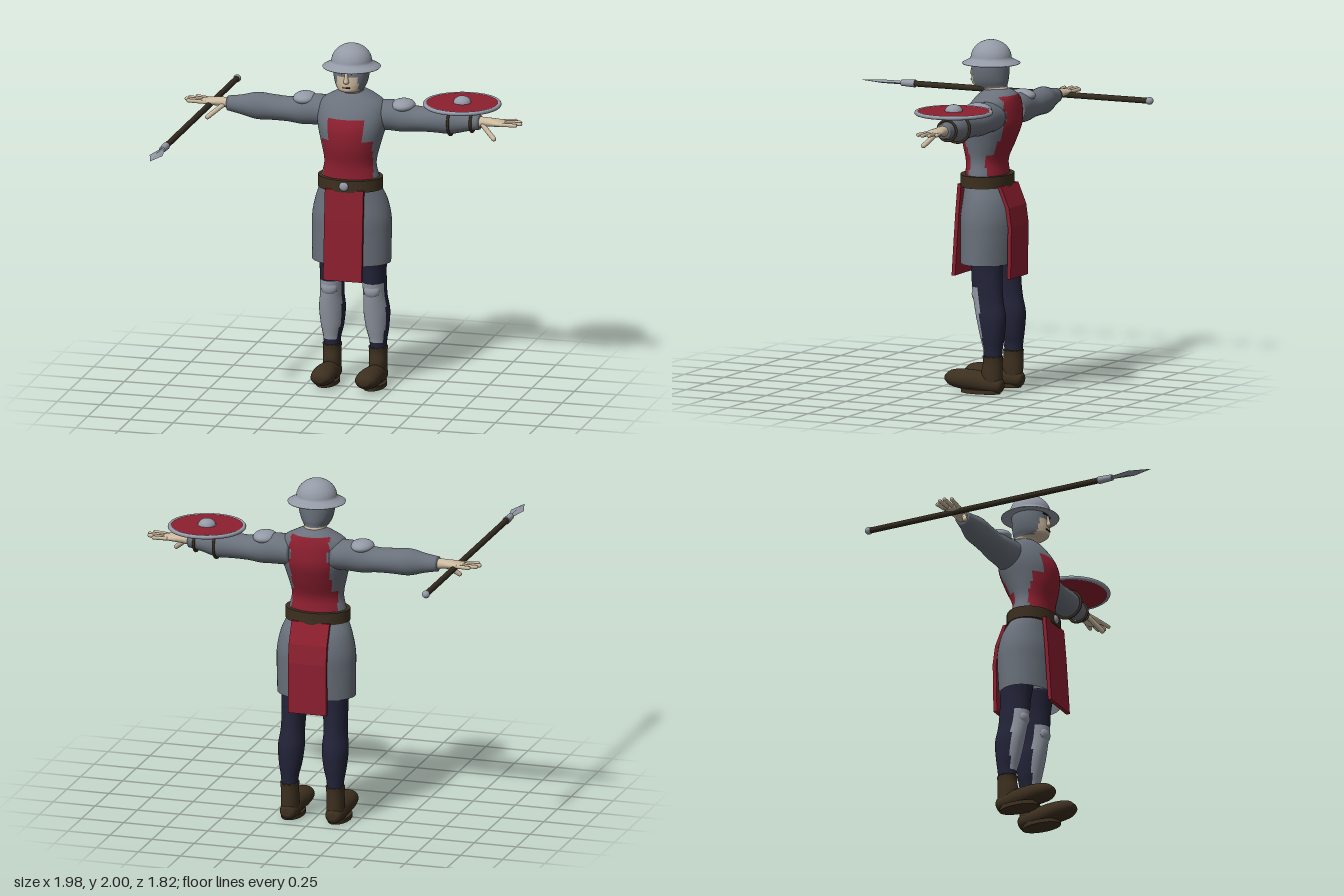
import * as THREE from 'three';

const paint = (name, color, extra = {}) => Object.assign(new THREE.MeshStandardMaterial({ color, ...extra }), { name });
const steel = paint('steel', 0x949aa6);
const mail = paint('mail grey', 0x6a717b, { side: THREE.DoubleSide });
const red = paint('tabard red', 0x8c1f2f);
const leather = paint('leather brown', 0x3c2f1f);
const wood = paint('dark wood', 0x332a1f);
const navy = paint('navy cloth', 0x222338);
const skin = paint('skin', 0xcbb99f);
const dark = paint('dark hair', 0x1d1814);

// Smooth interpolation through the rows of a section table
function sampleSections(s, f) {
  const i = Math.min(Math.floor(f), s.length - 2), t = f - i;
  const a = s[Math.max(i - 1, 0)], b = s[i], c = s[i + 1], d = s[Math.min(i + 2, s.length - 1)];
  return b.map((_, k) => b[k] + 0.5 * t * (c[k] - a[k] + t * (2 * a[k] - 5 * b[k] + 4 * c[k] - d[k]
    + t * (3 * (b[k] - c[k]) + d[k] - a[k]))));
}

// Loft of elliptical rings. Section: [along axis, centre u, centre v, radius u, radius v]
// (u, v) is (x, z) for axis y, (z, y) for axis x and (y, x) for axis z.
const place = {
  x: (t, u, v) => [t, v, u],
  y: (t, u, v) => [u, t, v],
  z: (t, u, v) => [v, u, t],
};
function loft(axis, sections, { segs = 36, rows = 28, cap = true, pick = null } = {}) {
  const pos = [], faces = [[], []];
  for (let i = 0; i <= rows; i++) {
    const [t, cu, cv, ru, rv] = sampleSections(sections, i / rows * (sections.length - 1));
    for (let j = 0; j < segs; j++) {
      const a = (j / segs) * Math.PI * 2;
      pos.push(...place[axis](t, cu + ru * Math.cos(a), cv + rv * Math.sin(a)));
    }
  }
  for (let i = 0; i < rows; i++) for (let j = 0; j < segs; j++) {
    const p = i * segs + j, q = i * segs + (j + 1) % segs, r = p + segs, s = q + segs;
    const mid = [0, 1, 2].map(k => (pos[p * 3 + k] + pos[q * 3 + k] + pos[r * 3 + k] + pos[s * 3 + k]) / 4);
    faces[pick && pick(...mid) ? 1 : 0].push(p, r, q, q, r, s);
  }
  if (cap) for (const end of [0, 1]) {
    const [t, cu, cv] = sections[end ? sections.length - 1 : 0], c = pos.length / 3, o = end * rows * segs;
    pos.push(...place[axis](t, cu, cv));
    for (let j = 0; j < segs; j++) {
      const p = o + j, q = o + (j + 1) % segs;
      faces[0].push(...(end ? [c, q, p] : [c, p, q]));
    }
  }
  const g = new THREE.BufferGeometry();
  g.setAttribute('position', new THREE.Float32BufferAttribute(pos, 3));
  g.setIndex([...faces[0], ...faces[1]]);
  if (pick) {
    g.addGroup(0, faces[0].length, 0);
    g.addGroup(faces[0].length, faces[1].length, 1);
  }
  g.computeVertexNormals();
  return g;
}

// Reflected copy across x = 0 with corner order kept outward
function mirrored(g) {
  const m = g.clone().scale(-1, 1, 1), ix = m.index.array;
  for (let i = 0; i < ix.length; i += 3) [ix[i + 1], ix[i + 2]] = [ix[i + 2], ix[i + 1]];
  return m;
}

const ball = (x, y, z, rx, ry, rz) => new THREE.SphereGeometry(1, 28, 18).scale(rx, ry, rz).translate(x, y, z);
const box = (x, y, z, w, h, d) => new THREE.BoxGeometry(w, h, d).translate(x, y, z);

// Capsule between two points
function finger(a, b, r) {
  const A = new THREE.Vector3(...a), B = new THREE.Vector3(...b), dir = B.clone().sub(A);
  const q = new THREE.Quaternion().setFromUnitVectors(new THREE.Vector3(0, 1, 0), dir.clone().normalize());
  return new THREE.CapsuleGeometry(r, dir.length() - r, 5, 10).applyQuaternion(q).translate(...A.add(B).multiplyScalar(0.5).toArray());
}

// Hanging cloth: side line [z, y] given thickness, extruded across x
function clothPanel(line, thick, width) {
  const back = line.map(([z, y]) => [z + thick, y]).reverse();
  const shape = new THREE.Shape([...line, ...back].map(p => new THREE.Vector2(...p)));
  return new THREE.ExtrudeGeometry(shape, { depth: width, bevelEnabled: false })
    .rotateY(-Math.PI / 2).translate(width / 2, 0, 0);
}

export function createModel() {
  const model = new THREE.Group();
  model.name = 'footSoldier';
  const add = (name, geometry, material) => {
    const m = new THREE.Mesh(geometry, material);
    m.name = name;
    model.add(m);
  };
  const pair = (name, geometry, material) => {
    add(name + 'Left', geometry, material);
    add(name + 'Right', mirrored(geometry), material);
  };

  // Torso with the red tabard front and back
  const tabard = (x, y, z) => {
    const w = Math.abs(x);
    if (z > -0.24) return y < 1.47 ? w < 0.145 : y < 1.59 && w < 0.105;
    return z < -0.33 && y < 1.69 && w < (y < 1.36 ? 0.135 : 0.115);
  };
  add('torso', loft('y', [
    [1.17, 0, -0.28, 0.175, 0.125], [1.24, 0, -0.278, 0.165, 0.115], [1.32, 0, -0.276, 0.15, 0.115],
    [1.42, 0, -0.287, 0.17, 0.147], [1.52, 0, -0.305, 0.195, 0.165], [1.6, 0, -0.32, 0.2, 0.15],
    [1.66, 0, -0.335, 0.18, 0.125], [1.7, 0, -0.345, 0.115, 0.1], [1.725, 0, -0.345, 0.06, 0.062],
  ], { segs: 56, rows: 40, pick: tabard }), [mail, red]);

  // Skirt, hanging panels, belt and buckle
  add('skirt', loft('y', [
    [0.735, 0, -0.3, 0.228, 0.16], [0.9, 0, -0.305, 0.23, 0.165], [1, 0, -0.305, 0.228, 0.165],
    [1.1, 0, -0.3, 0.207, 0.148], [1.18, 0, -0.28, 0.175, 0.122],
  ], { segs: 48, cap: false }), mail);
  add('frontPanel', clothPanel([[-0.165, 1.18], [-0.15, 1], [-0.137, 0.8], [-0.128, 0.655]], 0.022, 0.226), red);
  add('backPanel', clothPanel([[-0.415, 1.18], [-0.465, 1.06], [-0.48, 0.95], [-0.475, 0.655]], 0.022, 0.226), red);
  add('belt', new THREE.CylinderGeometry(1, 1, 0.068, 48).scale(0.187, 1, 0.143).translate(0, 1.203, -0.277), leather);
  add('buckle', ball(0, 1.203, -0.137, 0.027, 0.027, 0.015), steel);

  // Head: neck and face in skin, the rest under a mail hood
  const face = (x, y, z) => y < 1.735 || (z > -0.24 && Math.abs(x) < 0.062 && y < 1.83);
  add('head', loft('y', [
    [1.66, 0, -0.345, 0.06, 0.06], [1.72, 0, -0.33, 0.062, 0.07], [1.74, 0, -0.295, 0.073, 0.1],
    [1.77, 0, -0.293, 0.088, 0.108], [1.81, 0, -0.295, 0.099, 0.109], [1.86, 0, -0.297, 0.104, 0.108],
    [1.92, 0, -0.3, 0.1, 0.105],
  ], { segs: 48, rows: 42, pick: face }), [mail, skin]);
  add('nose', loft('y', [
    [1.79, 0, -0.19, 0.008, 0.008], [1.8, 0, -0.186, 0.016, 0.019],
    [1.825, 0, -0.188, 0.011, 0.013], [1.855, 0, -0.19, 0.008, 0.008],
  ], { segs: 12, rows: 10 }), skin);
  add('mouth', box(0, 1.768, -0.185, 0.042, 0.006, 0.007), dark);
  for (const s of [-1, 1]) {
    add('brow', box(s * 0.037, 1.862, -0.192, 0.04, 0.009, 0.008).rotateY(s * 0.08), dark);
    add('eye', box(s * 0.035, 1.845, -0.193, 0.022, 0.006, 0.008).rotateY(s * 0.08), dark);
  }

  // Kettle helmet
  const helmet = [[0.1, 1.872], [0.163, 1.864], [0.165, 1.868], [0.14, 1.882], [0.117, 1.893]];
  for (let i = 1; i <= 14; i++) {
    const a = i / 14 * Math.PI / 2;
    helmet.push([Math.max(0, 0.116 * Math.cos(a)), 1.895 + 0.105 * Math.sin(a)]);
  }
  add('helmet', new THREE.LatheGeometry(helmet.map(p => new THREE.Vector2(...p)), 48).translate(0, 0, -0.3), steel);

  // Arms, shoulder plates and hands
  pair('arm', loft('x', [
    [0.12, -0.35, 1.58, 0.1, 0.085], [0.22, -0.355, 1.583, 0.09, 0.088], [0.3, -0.355, 1.575, 0.085, 0.083],
    [0.38, -0.355, 1.572, 0.078, 0.071], [0.48, -0.355, 1.575, 0.075, 0.073], [0.57, -0.355, 1.577, 0.072, 0.077],
    [0.66, -0.35, 1.578, 0.055, 0.056], [0.74, -0.35, 1.58, 0.042, 0.042],
  ]), mail);
  pair('shoulderPlate', ball(0.288, 1.645, -0.355, 0.068, 0.037, 0.08), steel);
  pair('hand', loft('x', [
    [0.72, -0.35, 1.58, 0.035, 0.032], [0.78, -0.35, 1.585, 0.037, 0.026],
    [0.85, -0.347, 1.586, 0.05, 0.019], [0.89, -0.347, 1.585, 0.043, 0.012],
  ], { segs: 20, rows: 12 }), skin);
  [[-0.388, 0.94, -0.405], [-0.362, 0.975, -0.372], [-0.335, 0.985, -0.337], [-0.309, 0.965, -0.3]].forEach(([z, tip, zTip]) =>
    pair('finger', finger([0.86, 1.586, z], [tip, 1.59, zTip], 0.011), skin));
  pair('thumb', finger([0.76, 1.575, -0.325], [0.845, 1.505, -0.275], 0.014), skin);

  // Legs with shin plates on the front
  const greave = (x, y, z) => y > 0.25 && y < 0.61 && z > -0.31 - (0.6 - y) * 0.075;
  pair('leg', loft('y', [
    [0.17, 0.135, -0.375, 0.045, 0.05], [0.25, 0.135, -0.375, 0.05, 0.056], [0.33, 0.132, -0.37, 0.066, 0.071],
    [0.43, 0.13, -0.362, 0.075, 0.086], [0.52, 0.127, -0.345, 0.067, 0.088], [0.6, 0.124, -0.335, 0.068, 0.09],
    [0.7, 0.12, -0.33, 0.073, 0.092], [0.82, 0.115, -0.32, 0.088, 0.1],
  ], { rows: 44, pick: greave }), [navy, steel]);
  pair('kneePlate', ball(0.125, 0.565, -0.275, 0.047, 0.045, 0.03), steel);

  // Boots
  pair('bootShaft', loft('y', [
    [0.04, 0.135, -0.375, 0.05, 0.055], [0.12, 0.135, -0.37, 0.052, 0.062],
    [0.18, 0.135, -0.375, 0.051, 0.057], [0.215, 0.135, -0.375, 0.055, 0.06],
  ], { segs: 24, rows: 12 }), leather);
  pair('bootFoot', loft('z', [
    [-0.437, 0.05, 0.135, 0.02, 0.025], [-0.42, 0.05, 0.135, 0.043, 0.045], [-0.36, 0.055, 0.135, 0.055, 0.055],
    [-0.28, 0.067, 0.135, 0.06, 0.058], [-0.2, 0.072, 0.133, 0.058, 0.067], [-0.12, 0.075, 0.13, 0.046, 0.06],
    [-0.083, 0.075, 0.13, 0.02, 0.03],
  ], { segs: 28 }), leather);
  pair('sole', new THREE.CylinderGeometry(1, 1, 0.024, 28).scale(0.062, 1, 0.12).translate(0.138, 0.012, -0.3), leather);

  // Shield lying over the left forearm, with its arm straps
  add('shieldFace', new THREE.CylinderGeometry(0.208, 0.208, 0.018, 56).translate(0.63, 1.675, -0.366), red);
  add('shieldRim', new THREE.TorusGeometry(0.21, 0.012, 12, 56).rotateX(Math.PI / 2).translate(0.63, 1.675, -0.366), steel);
  add('shieldBoss', ball(0.63, 1.683, -0.366, 0.051, 0.039, 0.051), steel);
  [[0.57, 0.082, 1.577], [0.695, 0.058, 1.58]].forEach(([x, r, y]) =>
    add('armStrap', new THREE.TorusGeometry(r, 0.008, 8, 36).rotateY(Math.PI / 2).translate(x, y, -0.355), leather));

  // Spear in the right hand, pointing forward
  const rod = (r0, r1, z0, z1) => new THREE.CylinderGeometry(r1, r0, z1 - z0, 20)
    .rotateX(Math.PI / 2).translate(-0.84, 1.57, (z0 + z1) / 2);
  add('spearShaft', rod(0.017, 0.017, -0.88, 0.6), wood);
  add('spearSocket', rod(0.022, 0.018, 0.575, 0.66), steel);
  add('spearButt', ball(-0.84, 1.57, -0.89, 0.022, 0.022, 0.022), steel);
  const blade = [[0.65, 1.57, -0.84, 0.01, 0.012], [0.78, 1.57, -0.84, 0.01, 0.038], [0.905, 1.57, -0.84, 0.001, 0.001]];
  const bladeGeometry = loft('z', blade, { segs: 4, rows: 2 }).toNonIndexed();
  bladeGeometry.computeVertexNormals();
  add('spearBlade', bladeGeometry, steel);

  return model;
}
